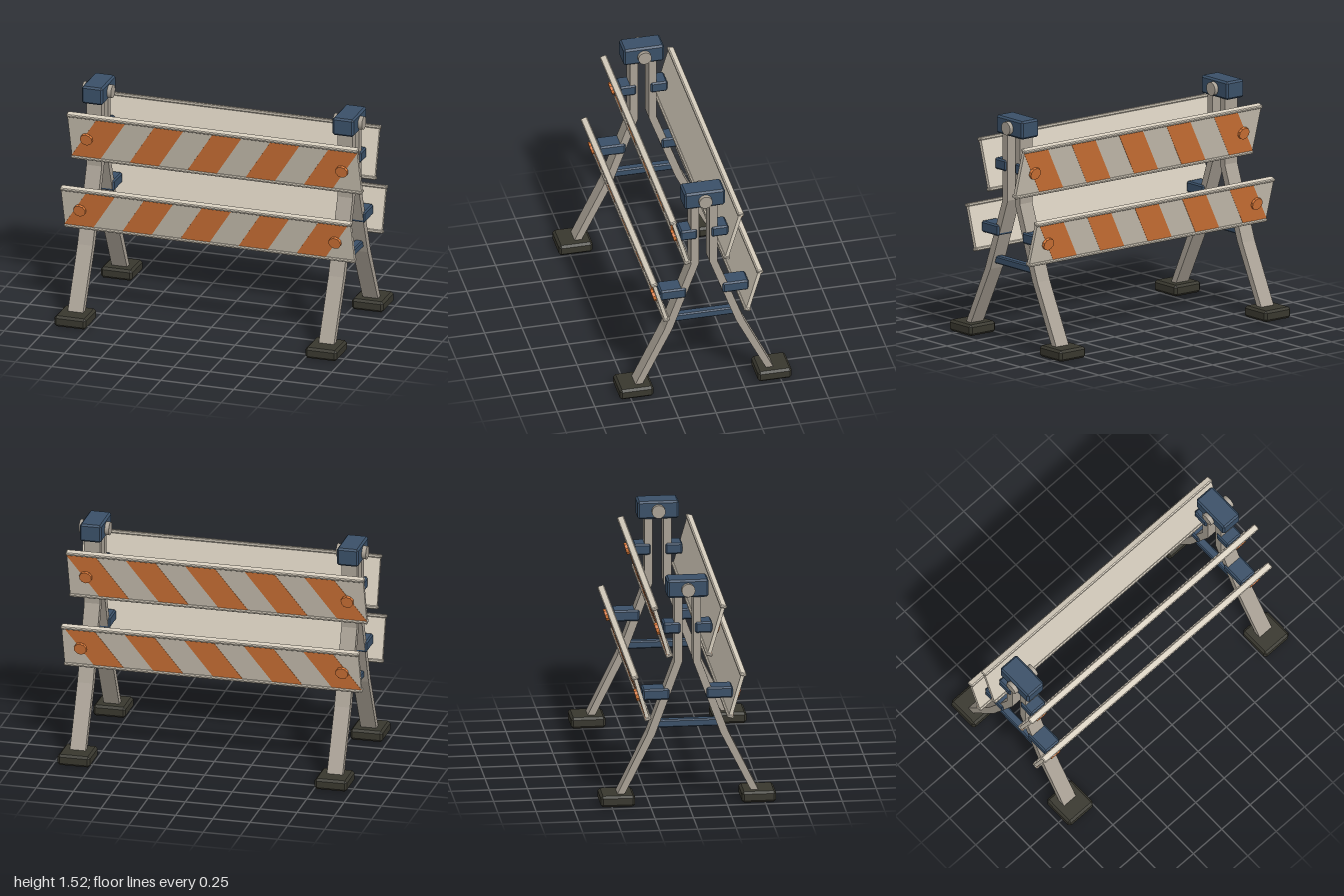
import * as THREE from 'three';
import { ConvexGeometry } from 'three/addons/geometries/ConvexGeometry.js';

const mat = (name, color, flatShading = true) => {
  const m = new THREE.MeshStandardMaterial({ color, flatShading });
  m.name = name;
  return m;
};

// Box with every edge chamfered by c
function chamferBox(w, h, d, c) {
  const pts = [];
  for (const x of [-1, 1]) for (const y of [-1, 1]) for (const z of [-1, 1])
    for (let a = 0; a < 3; a++) {
      const k = [c, c, c];
      k[a] = 0;
      pts.push(new THREE.Vector3(x * (w / 2 - k[0]), y * (h / 2 - k[1]), z * (d / 2 - k[2])));
    }
  return new ConvexGeometry(pts);
}

function add(parent, name, geometry, material, x = 0, y = 0, z = 0) {
  const mesh = new THREE.Mesh(geometry, material);
  mesh.name = name;
  mesh.position.set(x, y, z);
  parent.add(mesh);
  return mesh;
}

const polygon = (pts) => new THREE.Shape(pts.map(([x, y]) => new THREE.Vector2(x, y)));

export function createModel() {
  const model = new THREE.Group();
  model.name = 'barricade';
  const cream = mat('cream panel', 0xd6cdbd);
  const orange = mat('orange', 0xdc7a3a);
  const steel = mat('grey leg', 0xaaa296);
  const navy = mat('navy bracket', 0x3a5068);
  const rubber = mat('dark rubber', 0x38372e);
  const pinSteel = steel.clone();
  pinSteel.flatShading = false;
  pinSteel.name = 'grey pin';

  // Bent leg: centre z, height y and half thickness, from top to foot
  const legPath = [[0.062, 1.42, 0.026], [0.062, 0.957, 0.026], [0.24, 0.47, 0.027], [0.452, 0.04, 0.024]];
  const legGeometry = (side) => {
    const outer = legPath.map(([z, y, t]) => [side * (z + t), y]);
    const inner = legPath.map(([z, y, t]) => [side * (z - t), y]).reverse();
    const g = new THREE.ExtrudeGeometry(polygon([...outer, ...inner]), { depth: 0.105, bevelEnabled: false });
    return g.translate(0, 0, -0.0525).rotateY(-Math.PI / 2);
  };

  // End frames
  for (const end of [-1, 1]) {
    const frame = new THREE.Group();
    frame.name = end > 0 ? 'leftFrame' : 'rightFrame';
    frame.position.x = end * 0.862;
    model.add(frame);
    add(frame, 'hingeCap', chamferBox(0.145, 0.12, 0.27, 0.012), navy, 0, 1.458, 0);
    add(frame, 'hingePin', new THREE.CylinderGeometry(0.044, 0.044, 0.2, 24).rotateZ(Math.PI / 2), pinSteel, 0, 1.454, 0);
    add(frame, 'crossBrace', chamferBox(0.055, 0.052, 0.42, 0.008), navy, 0, 0.532, 0);
    for (const side of [1, -1]) {
      add(frame, 'leg', legGeometry(side), steel);
      add(frame, 'foot', chamferBox(0.217, 0.074, 0.225, 0.015), rubber, 0, 0.037, side * 0.4605);
      add(frame, 'upperBracket', chamferBox(0.126, 0.074, 0.112, 0.01), navy, 0, 1.189, side * 0.104);
      add(frame, 'lowerBracket', chamferBox(0.126, 0.074, 0.174, 0.01), navy, 0, 0.742, side * 0.208);
    }
  }

  // Striped panels, leaning outward at the top
  const thickness = 0.024, lip = 0.022, skin = 0.002;
  function addPanel(name, side, length, y, z) {
    const panel = new THREE.Group();
    panel.name = name;
    panel.position.set(0, y, side * z);
    panel.rotation.x = side * 0.283;
    model.add(panel);
    const h = length - 2 * lip, shift = h * 0.637;
    add(panel, 'board', new THREE.BoxGeometry(1.99, h + 0.01, thickness), cream);
    for (const v of [-1, 1])
      add(panel, 'edgeLip', chamferBox(2, lip, 0.046, 0.006), cream, 0, v * (length - lip) / 2, 0);
    // Slanted stripes on the outer face
    for (let i = 0; i < 5; i++) {
      const x = -0.997 + i * 0.399;
      const shape = polygon([[x, -h / 2], [x + 0.2, -h / 2], [x + 0.2 + shift, h / 2], [x + shift, h / 2]]);
      const g = new THREE.ExtrudeGeometry(shape, { depth: skin * 2, bevelEnabled: false }).translate(0, 0, -skin);
      add(panel, 'stripe', g, orange, 0, 0, side * thickness / 2);
    }
    // Round bolt heads
    for (const end of [-1, 1])
      add(panel, 'boltHead', new THREE.CylinderGeometry(0.042, 0.042, 0.03, 10).rotateX(Math.PI / 2),
        orange, end * 0.877, -0.004, side * 0.017);
  }
  for (const side of [1, -1]) {
    const label = side > 0 ? 'front' : 'back';
    addPanel(label + 'UpperPanel', side, 0.357, 1.188, 0.177);
    addPanel(label + 'LowerPanel', side, 0.316, 0.742, 0.311);
  }
  return model;
}
